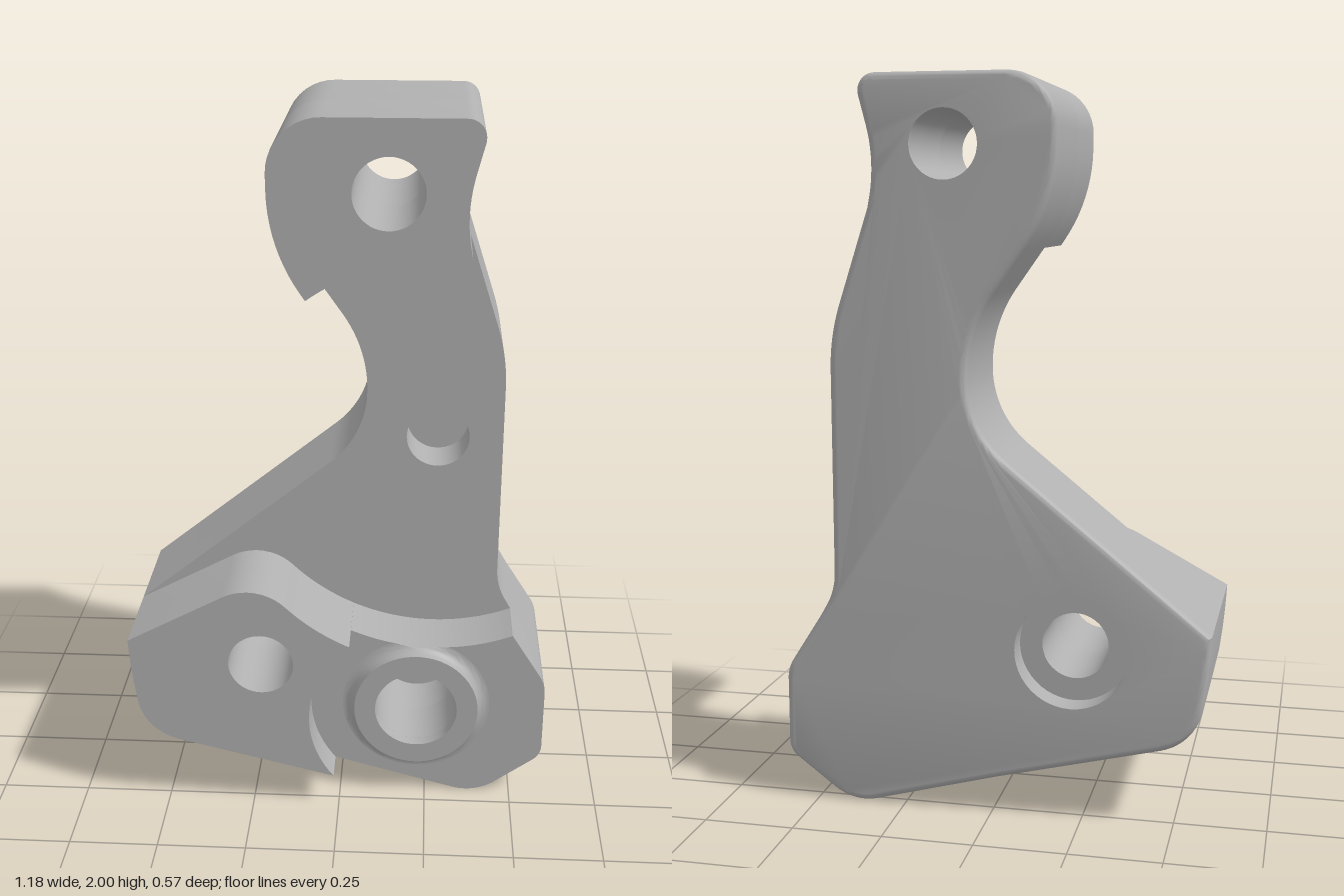
import * as THREE from 'three';
import { mergeGeometries, toCreasedNormals } from 'three/addons/utils/BufferGeometryUtils.js';

const V = (x, y) => new THREE.Vector2(x, y);
const BACK = -0.285, WEB = 0.03, PAD = 0.19, FRONT = 0.285;

// points on a circular arc, angles in degrees
function arc(x, y, r, a0, a1, n = 24) {
  return Array.from({ length: n + 1 }, (_, i) => {
    const a = THREE.MathUtils.degToRad(a0 + (a1 - a0) * i / n);
    return V(x + r * Math.cos(a), y + r * Math.sin(a));
  });
}

// polyline whose corners [x, y, d] become true arcs that start d before the corner
function rounded(list, n = 10) {
  const out = [];
  list.forEach(([x, y, d], i) => {
    const p = V(x, y);
    if (!d) return out.push(p);
    const u = V(...list[i - 1]).sub(p).normalize(), v = V(...list[i + 1]).sub(p).normalize();
    const a = p.clone().addScaledVector(u, d), b = p.clone().addScaledVector(v, d);
    const w = Math.sqrt((1 - u.dot(v)) / 2);
    for (let k = 0; k <= n; k++) {
      const t = k / n, c0 = (1 - t) ** 2, c1 = 2 * w * t * (1 - t), c2 = t * t;
      out.push(V(c0 * a.x + c1 * p.x + c2 * b.x, c0 * a.y + c1 * p.y + c2 * b.y).divideScalar(c0 + c1 + c2));
    }
  });
  return out;
}

// join point runs into one closed contour without doubled points
function contour(...runs) {
  const pts = runs.flat();
  return pts.filter((p, i) => p.distanceTo(pts[(i + 1) % pts.length]) > 0.002);
}

const circle = (x, y, r) => arc(x, y, r, 0, 360, 48).slice(0, -1);

function makeShape(pts, holes) {
  const s = new THREE.Shape(pts);
  s.holes = holes.map(h => new THREE.Path(h));
  return s;
}

// flat slab between two depths
function slab(pts, z0, z1, holes = []) {
  const g = new THREE.ExtrudeGeometry(makeShape(pts, holes), { depth: z1 - z0, bevelEnabled: false });
  return g.translate(0, 0, z0);
}

// contour moved inwards by d
function inset(pts, d) {
  return pts.map((p, i) => {
    const a = pts[(i + pts.length - 1) % pts.length], b = pts[(i + 1) % pts.length];
    const u = p.clone().sub(a).normalize(), v = b.clone().sub(p).normalize();
    const m = V(-u.y - v.y, u.x + v.x).normalize();
    return p.clone().addScaledVector(m, d / Math.max(0.5, m.dot(V(-u.y, u.x))));
  });
}

// side wall through rings [contour, z], listed front to back
function wall(rings) {
  const n = rings[0][0].length, pos = [], idx = [];
  rings.forEach(([pts, z]) => pts.forEach(p => pos.push(p.x, p.y, z)));
  for (let k = 0; k < rings.length - 1; k++) {
    for (let i = 0; i < n; i++) {
      const j = (i + 1) % n, a = k * n, b = a + n;
      idx.push(b + i, b + j, a + i, b + j, a + j, a + i);
    }
  }
  const g = new THREE.BufferGeometry();
  g.setAttribute('position', new THREE.Float32BufferAttribute(pos, 3));
  g.setIndex(idx);
  return g;
}

// keep positions only, then smooth gentle edges
function finish(...parts) {
  const bare = parts.map(p => {
    const g = p.index ? p.toNonIndexed() : p;
    return new THREE.BufferGeometry().setAttribute('position', g.getAttribute('position'));
  });
  return toCreasedNormals(mergeGeometries(bare), 0.5);
}

export function createModel() {
  const group = new THREE.Group();
  const metal = new THREE.MeshStandardMaterial({ color: 0xb0b0b0 });
  const add = (name, geometry) => {
    const m = new THREE.Mesh(geometry, metal);
    m.name = name;
    group.add(m);
  };

  // circular relief around the middle hole, and clearance around the boss
  const MX = 0.265, MY = 1.07, MR = 0.585, BX = 0.22, BY = 0.295;
  const reliefTop = arc(MX, MY, MR, 126.5, 83, 20);
  const reliefRight = arc(MX, MY, MR, 292.6, 246.3);
  const reliefLeft = arc(MX, MY, MR, 246.3, 226, 12);
  const clearance = arc(BX, BY, 0.305, 219.7, 128.5);
  const xy = p => [p.x, p.y];
  const headLeft = xy(reliefTop[0]), headRight = xy(reliefTop[20]);
  const padRight = xy(reliefRight[0]), padBottom = xy(clearance[0]), tip = [-0.595, 0.535];

  // outline in runs, counter-clockwise
  const rightRun = rounded([padRight, [0.447, 0.605, 0.05], [0.447, 1.31, 0.09], headRight]);
  const headRun = rounded([headRight, [0.312, 1.77, 0.1], [0.372, 2, 0.06], [-0.18, 2, 0.14],
    [-0.176, 1.675, 0.145], headLeft]);
  const leftRun = rounded([headLeft, [0.066, 1.328, 0.12], [0.066, 1.069, 0.135], tip], 14);
  const lowLeftRun = rounded([tip, [-0.588, 0.42, 0.08], [-0.56, 0.235, 0.1], padBottom]);
  const lowRightRun = rounded([padBottom, [0.4, -0.012, 0.07], [0.59, 0.13, 0.03], [0.59, 0.372, 0.03], padRight]);
  const outline = contour(rightRun, headRun, leftRun, lowLeftRun, lowRightRun);

  // holes
  const topHole = circle(0.125, 1.815, 0.092);
  const leftHole = circle(-0.22, 0.47, 0.092);
  const counterbore = circle(-0.22, 0.47, 0.155);
  const middleHole = circle(MX, MY, 0.088);
  const bossHole = circle(BX, BY, 0.118);

  // body plate: layers give blind hole floors and the counterbore step
  const R = 0.02, RIM = BACK + R, FLOOR = -0.1, STEP = -0.21;
  add('bodyPlate', finish(
    slab(outline, FLOOR, WEB, [topHole, leftHole, middleHole, bossHole]),
    slab(outline, STEP, FLOOR, [topHole, leftHole]),
    slab(outline, RIM, STEP, [topHole, counterbore])));

  // rounded back edge with the back face
  const rings = [0, 1, 2, 3, 4, 5].map(k => {
    const a = k / 5 * Math.PI / 2;
    return [inset(outline, R * (1 - Math.cos(a))), RIM - R * Math.sin(a)];
  });
  const cap = new THREE.ShapeGeometry(makeShape(rings[5][0], [topHole, counterbore])).translate(0, 0, BACK);
  cap.index.array.reverse();
  const holeWalls = [topHole, counterbore].map(h => {
    const r = h.slice().reverse();
    return wall([[r, RIM], [r, BACK]]);
  });
  add('roundedBack', finish(wall(rings), cap, ...holeWalls));

  // raised blocks on the front
  add('topHead', finish(slab(contour(headRun, reliefTop), WEB, FRONT, [topHole])));
  const peak = rounded([xy(reliefLeft[12]), [-0.228, 0.733, 0.108], tip]);
  add('leftPad', finish(slab(contour(lowLeftRun, clearance, reliefLeft, peak), WEB, FRONT, [leftHole])));
  add('rightPad', finish(slab(contour(lowRightRun, reliefRight, clearance.slice().reverse()), WEB, PAD, [bossHole])));

  // boss with a fillet at its foot, trimmed by the circular relief
  const profile = [...arc(0.213, 0.225, 0.035, 270, 180, 8), V(0.118, 0.225), V(0.118, PAD)];
  const boss = new THREE.LatheGeometry(profile, 64).rotateX(Math.PI / 2);
  const pos = boss.getAttribute('position');
  for (let i = 0; i < pos.count; i++) {
    const d = V(pos.getX(i) + BX - MX, pos.getY(i) + BY - MY);
    if (d.length() < MR) d.setLength(MR);
    pos.setXY(i, MX + d.x, MY + d.y);
  }
  add('boss', finish(boss));
  return group;
}
